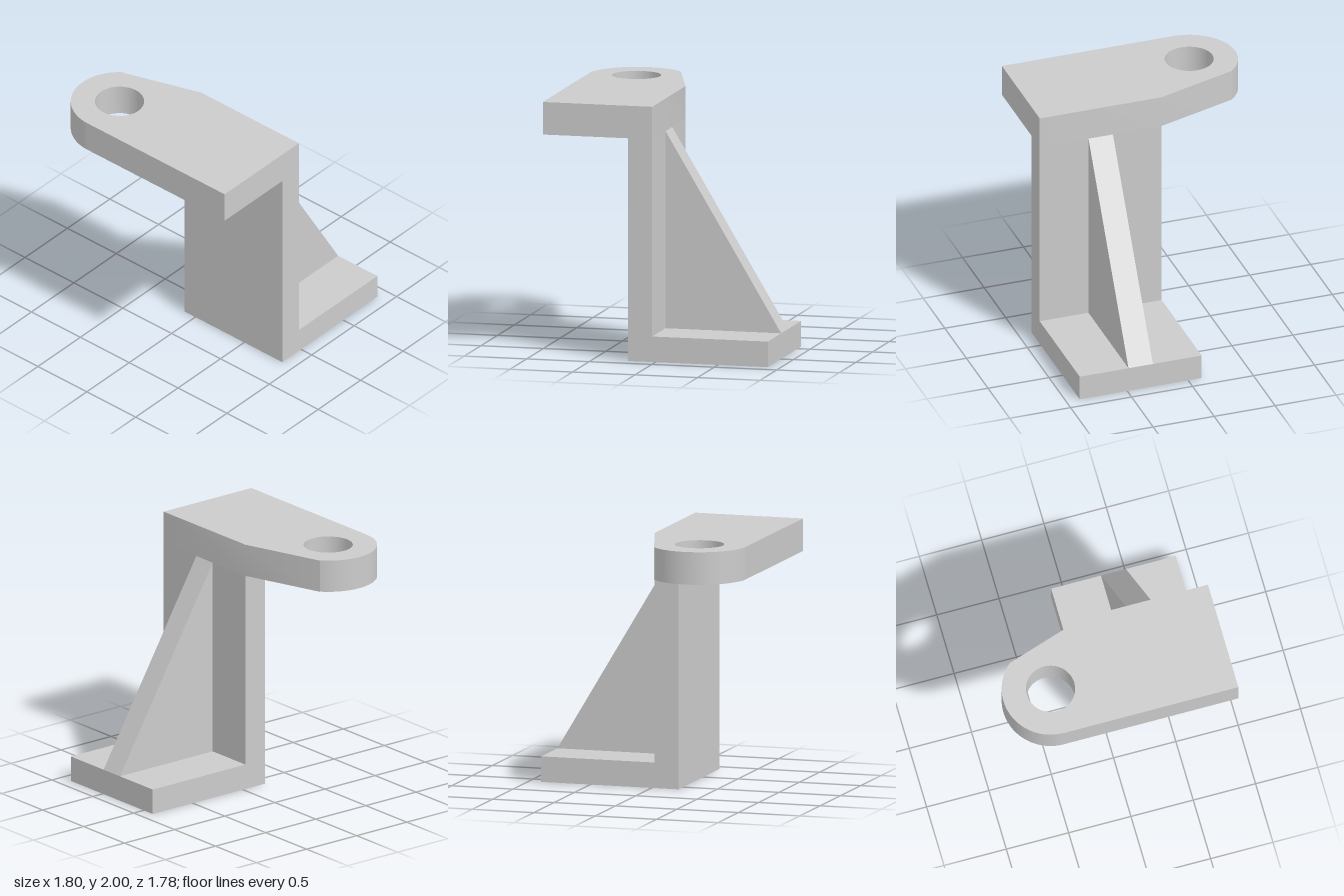
import * as THREE from 'three';
import { toCreasedNormals } from 'three/addons/utils/BufferGeometryUtils.js';

const material = new THREE.MeshStandardMaterial({ color: 0xcccccc });

function extrudePart(name, shape, depth) {
  const geometry = new THREE.ExtrudeGeometry(shape, { depth, bevelEnabled: false, curveSegments: 48 });
  const mesh = new THREE.Mesh(toCreasedNormals(geometry, Math.PI / 7), material);
  mesh.name = name;
  return mesh;
}

const polygon = (points) => new THREE.Shape(points.map(([x, y]) => new THREE.Vector2(x, y)));

export function createModel() {
  const group = new THREE.Group();
  group.name = 'bracket';

  const wallFace = -0.025; // x of the upright's rib side
  const back = -0.11, front = 0.89; // z range of the upright and base
  const armBottom = 1.745;

  // Upright wall and base in one L-shaped profile
  const body = extrudePart('uprightAndBase', polygon([
    [-0.22, 0], [0.9, 0], [0.9, 0.2], [wallFace, 0.2], [wallFace, armBottom], [-0.22, armBottom],
  ]), front - back);
  body.position.z = back;
  group.add(body);

  // Triangular stiffening rib
  const rib = extrudePart('rib', polygon([
    [wallFace, 0.2], [0.9, 0.2], [wallFace, armBottom],
  ]), 0.2);
  rib.position.z = 0.29;
  group.add(rib);

  // Top arm with a rounded end and a through hole, drawn in plan (shape y = -z)
  const cx = -0.523, cy = 0.512, radius = 0.378;
  const plan = polygon([[-0.9, -front], [wallFace, -front], [wallFace, -back]]);
  plan.moveTo(-0.9, -front);
  plan.curves.length = 0;
  plan.lineTo(wallFace, -front);
  plan.lineTo(wallFace, -back);
  plan.lineTo(-0.235, 0.762);
  plan.absarc(cx, cy, radius, Math.atan2(0.25, 0.288), Math.PI, false);
  plan.closePath();
  plan.holes.push(new THREE.Path().absarc(cx, cy, 0.19, 0, Math.PI * 2, true));
  const arm = extrudePart('topArm', plan, 2 - armBottom);
  arm.rotation.x = -Math.PI / 2;
  arm.position.y = armBottom;
  group.add(arm);

  return group;
}
